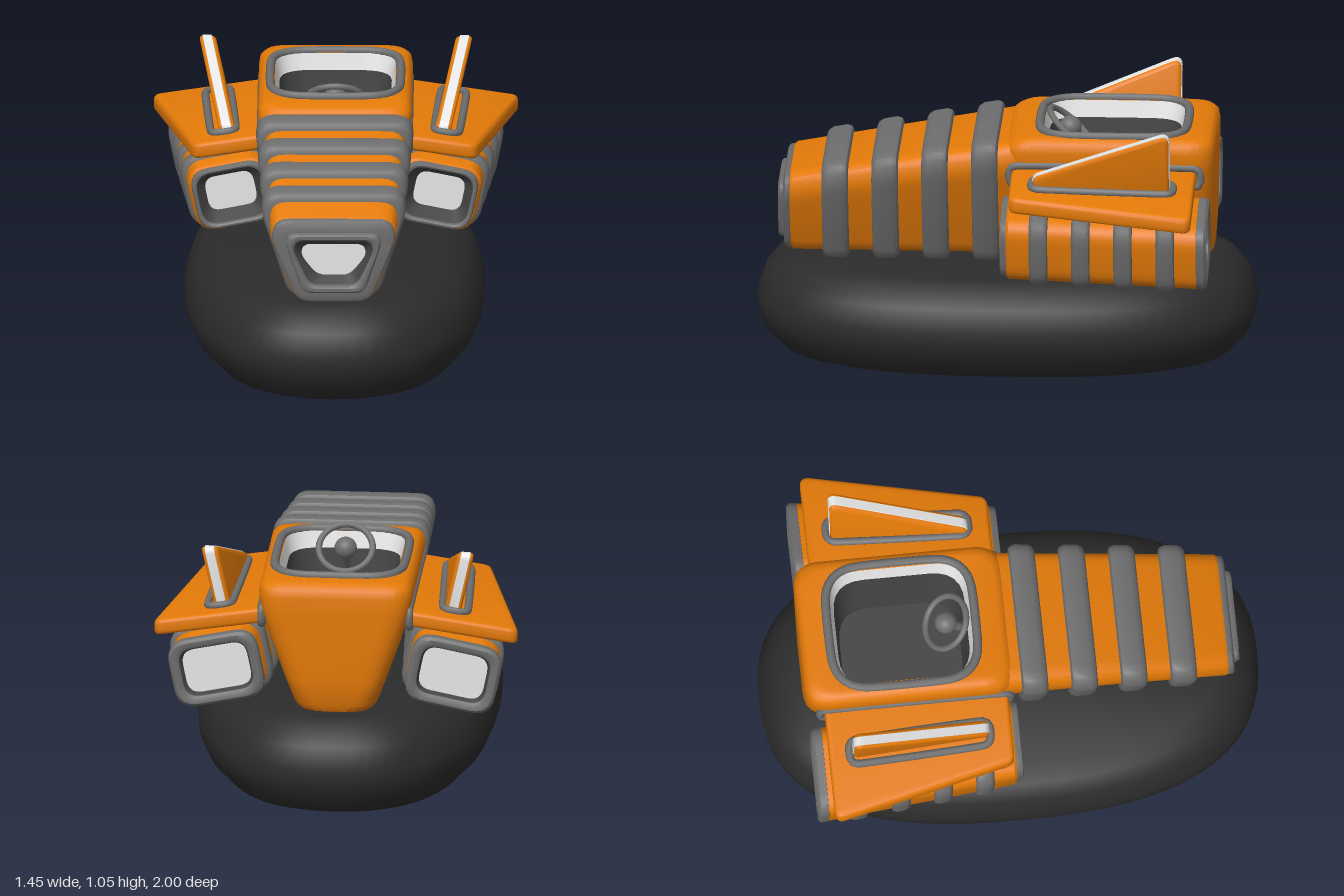
import * as THREE from 'three';
import { toCreasedNormals } from 'three/addons/utils/BufferGeometryUtils.js';

const V = (x, y, z) => new THREE.Vector3(x, y, z);
const mat = (name, color, side = THREE.FrontSide) => {
  const m = new THREE.MeshStandardMaterial({ color, side });
  m.name = name;
  return m;
};

// Counter-clockwise polygon with rounded corners, as [u, v] points
function roundPoly(corners, r, n = 4) {
  const out = [], k = corners.length;
  const P = corners.map(c => new THREE.Vector2(...c));
  P.forEach((p, i) => {
    const toward = q => p.clone().lerp(q, Math.min(0.45, r / p.distanceTo(q)));
    const curve = new THREE.QuadraticBezierCurve(toward(P[(i + k - 1) % k]), p, toward(P[(i + 1) % k]));
    for (let j = 0; j <= n; j++) out.push(curve.getPoint(j / n).toArray());
  });
  return out;
}
const rect = (hw, v0, v1, r) => roundPoly([[hw, v0], [hw, v1], [-hw, v1], [-hw, v0]], r, 6);

// Skin over a row of equal rings, with optional flat ends
function loft(rings, start = false, end = false, crease = 0.7) {
  const pos = [], n = rings[0].length;
  const tri = (...ps) => ps.forEach(p => pos.push(p.x, p.y, p.z));
  const cap = (ring, flip) => {
    const c = ring.reduce((s, p) => s.add(p), V(0, 0, 0)).divideScalar(n);
    ring.forEach((p, i) => {
      const q = ring[(i + 1) % n];
      flip ? tri(c, q, p) : tri(c, p, q);
    });
  };
  for (let k = 0; k + 1 < rings.length; k++) {
    const a = rings[k], b = rings[k + 1];
    for (let i = 0; i < n; i++) {
      const j = (i + 1) % n;
      tri(a[i], a[j], b[j]);
      tri(a[i], b[j], b[i]);
    }
  }
  if (start) cap(rings[0], true);
  if (end) cap(rings[rings.length - 1], false);
  const g = new THREE.BufferGeometry();
  g.setAttribute('position', new THREE.Float32BufferAttribute(pos, 3));
  return toCreasedNormals(g, crease);
}

const loop = (pts, r) => new THREE.TubeGeometry(new THREE.CatmullRomCurve3(pts, true), 72, r, 8, true);

// Move every vertex by a rule, then renew the normals
function bend(g, f) {
  const p = g.attributes.position, v = V(0, 0, 0);
  for (let i = 0; i < p.count; i++) {
    f(v.fromBufferAttribute(p, i));
    p.setXYZ(i, v.x, v.y, v.z);
  }
  return toCreasedNormals(g, 0.7);
}

function mirrored(src) {
  const g = src.index ? src.toNonIndexed() : src.clone();
  g.scale(-1, 1, 1);
  for (const a of Object.values(g.attributes)) {
    const s = a.itemSize, d = a.array;
    for (let i = 0; i < a.count; i += 3) for (let c = 0; c < s; c++) {
      const p = (i + 1) * s + c, q = (i + 2) * s + c;
      [d[p], d[q]] = [d[q], d[p]];
    }
  }
  return g;
}

export function createModel() {
  const root = new THREE.Group();
  root.name = 'hovercraft';
  const orange = mat('orange paint', 0xe47a08), gray = mat('gray trim', 0x6e6e6e);
  const black = mat('black rubber', 0x2b2b2b, THREE.DoubleSide);
  const dark = mat('dark interior', 0x444444), light = mat('light panel', 0xe6e6e6);
  const add = (name, g, m) => {
    const mesh = new THREE.Mesh(g, m);
    mesh.name = name;
    root.add(mesh);
  };
  const pair = (name, g, m) => {
    add('left ' + name, g, m);
    add('right ' + name, mirrored(g), m);
  };

  // Inflated skirt, hollow underneath
  const skirtRing = ([d, y]) => Array.from({ length: 72 }, (_, i) => {
    const a = i / 72 * Math.PI * 2, f = t => Math.sign(t) * Math.abs(t) ** (2 / 2.5);
    return V((0.6 - d) * f(Math.cos(a)), y, -(1 - d) * f(Math.sin(a)));
  });
  add('skirt', loft([[0.42, 0.4], [0.33, 0.37], [0.27, 0.28], [0.23, 0.14], [0.205, 0.03], [0.195, 0], [0.18, 0],
    [0.1, 0.03], [0.035, 0.1], [0.005, 0.17], [0, 0.23], [0.03, 0.32], [0.08, 0.38], [0.15, 0.41]]
    .map(skirtRing), true, true, 0.8), black);

  // Front fuselage, a tapering trapezoid
  const body = ([z, e]) => {
    const w = 0.296 - 0.045 * z + e, top = 0.925 - 0.17 * z + e, b = 0.15 + e;
    return roundPoly([[b, 0.425 - e], [w, top - 0.08], [w - 0.025, top], [0.025 - w, top], [-w, top - 0.08], [-b, 0.425 - e]], 0.055)
      .map(([x, y]) => V(x, y, z));
  };
  add('nose body', loft([[-0.05, 0], [0.85, 0], [0.865, -0.008], [0.868, -0.03]].map(body)), orange);
  const ribRows = (z, h, e) => [[-1, -0.01], [-1, e - 0.018], [-0.86, e - 0.007], [-0.5, e],
    [0.5, e], [0.86, e - 0.007], [1, e - 0.018], [1, -0.01]].map(([k, d]) => [z + k * h, d]);
  [0.08, 0.28, 0.48, 0.68].forEach((z, i) =>
    add('hull rib ' + (i + 1), loft(ribRows(z, 0.053, 0.028).map(body), true, true), gray));

  // Nose intake: collar, raised trapezoid rim, recess and panel
  const trap = ([z, e]) => {
    const t = 0.192 + e, b = 0.125 + e, top = 0.722 + e, low = 0.472 - e;
    return roundPoly([[b, low], [t, top - 0.045], [t - 0.012, top], [0.012 - t, top], [-t, top - 0.045], [-b, low]], 0.035)
      .map(([x, y]) => V(x, y, z));
  };
  add('nose collar', loft([...[[0.845, -0.02], [0.865, -0.004], [0.88, -0.006], [0.888, -0.016]].map(body),
    ...[[0.888, 0], [0.904, -0.002], [0.912, -0.01], [0.912, -0.022], [0.904, -0.03], [0.888, -0.032]].map(trap)]), gray);
  add('nose recess', loft([[0.888, -0.032], [0.845, -0.06]].map(trap)), dark);
  add('nose panel', loft([trap([0.845, -0.06])], false, true), light);

  // Rear hull, stacked upwards and open at the cockpit
  const deck = ([y, hw, v0, v1, r = 0.1]) => rect(hw, v0, v1, r)
    .map(([x, v]) => V(x, y - (y > 0.9 ? Math.max(0, 0.1 - v) * 0.2 : 0), -v));
  const opening = [0.957, 0.24, 0.15, 0.705, 0.13], lip = [0.89, 0.224, 0.165, 0.69, 0.13];
  add('rear hull', loft([[0.41, 0.12, 0, 0.79], [0.42, 0.145, 0, 0.815], [0.45, 0.168, 0, 0.83], [0.55, 0.205, 0, 0.836],
    [0.7, 0.258, 0, 0.838], [0.83, 0.298, 0, 0.84], [0.9, 0.308, 0, 0.84], [0.935, 0.302, 0.005, 0.834],
    [0.954, 0.284, 0.02, 0.817], [0.959, 0.262, 0.04, 0.79], opening].map(deck), true), orange);
  add('cockpit lip', loft([opening, lip].map(deck)), light);
  add('cockpit tub', loft([lip, [0.62, 0.2, 0.19, 0.67, 0.13]].map(deck), false, true), dark);
  add('cockpit rim', loop(rect(0.259, 0.133, 0.722, 0.16).map(([x, v]) => V(x, 0.961, -v)), 0.018), gray);

  // Steering wheel facing up and back
  const tilt = 0.85, hub = V(0, 0.92, -0.25);
  add('steering wheel', new THREE.TorusGeometry(0.108, 0.013, 8, 36).rotateX(tilt).translate(...hub), gray);
  add('wheel hub', new THREE.SphereGeometry(0.045, 20, 14).translate(...hub), gray);
  add('steering column', new THREE.CylinderGeometry(0.018, 0.018, 0.26, 12).rotateX(Math.PI / 2)
    .translate(0, 0, 0.13).rotateX(tilt).translate(...hub), gray);

  // Side engine pods, rolled and splayed outwards to the rear
  const pod = ([z, e]) => {
    const t = -z / 0.82, hw = 0.162 + 0.018 * t + e, hh = 0.135 + 0.004 * t + e;
    const c = Math.cos(0.2), s = Math.sin(0.2);
    return rect(hw, -hh, hh, 0.085 + e * 0.6)
      .map(([u, v]) => V(0.41 + 0.066 * t + u * c + v * s, 0.587 - u * s + v * c, z));
  };
  const podLoft = (rows, a, b) => loft(rows.map(pod), a, b);
  pair('engine body', podLoft([[-0.8, -0.03], [-0.8, -0.008], [-0.79, 0], [-0.03, 0], [-0.02, -0.008], [-0.02, -0.03]]), orange);
  [-0.15, -0.32, -0.49, -0.66].forEach((z, i) =>
    pair('engine rib ' + (i + 1), podLoft(ribRows(z, 0.038, 0.017), true, true), gray));
  pair('engine front rim', podLoft([[-0.04, -0.009], [-0.005, -0.009], [0.004, -0.013], [0.006, -0.02],
    [0.002, -0.027], [-0.012, -0.029]]), gray);
  pair('engine intake', podLoft([[-0.012, -0.029], [-0.07, -0.065]]), dark);
  pair('intake panel', podLoft([[-0.07, -0.065]], false, true), light);
  pair('engine rear rim', podLoft([[-0.8, -0.04], [-0.818, -0.038], [-0.826, -0.028], [-0.826, -0.01],
    [-0.815, 0.001], [-0.785, 0.002], [-0.78, -0.01]]), gray);
  pair('engine outlet', podLoft([[-0.79, -0.048], [-0.812, -0.038]]), dark);
  pair('outlet panel', podLoft([[-0.79, -0.048]], true, false), light);

  // Wings sloping down to the tips
  const slope = 0.15;
  const wingShape = new THREE.Shape(roundPoly([[0.27, 0.045], [0.552, 0.045], [0.715, 0.75], [0.27, 0.75]], 0.02)
    .map(p => new THREE.Vector2(...p)));
  const wing = new THREE.ExtrudeGeometry(wingShape, { depth: 0.032, bevelSize: 0.016, bevelThickness: 0.016, bevelSegments: 3 });
  wing.rotateX(-Math.PI / 2);
  pair('wing', bend(wing, v => { v.y += 0.783 - slope * (v.x - 0.3); }), orange);
  pair('wing root trim', loop(roundPoly([[0.02, 0.765], [0.785, 0.765], [0.785, 0.845], [0.02, 0.845]], 0.03)
    .map(([v, y]) => V(0.296, y, -v)), 0.016), gray);

  // Tail fins: rounded blades with a thin light band along the edge
  const finShape = new THREE.Shape(roundPoly([[0.135, 0.8], [0.655, 0.8], [0.655, 1.035], [0.63, 1.028], [0.135, 0.838]], 0.015)
    .map(p => new THREE.Vector2(...p)));
  const blade = (depth, bevelSize, bevelThickness) => {
    const g = new THREE.ExtrudeGeometry(finShape, { depth, bevelSize, bevelThickness, bevelSegments: 3 });
    g.translate(0, 0, -depth / 2).rotateY(Math.PI / 2);
    return bend(g, v => { v.x += 0.432 + 0.22 * (v.y - 0.83) + 0.065 * (-v.z - 0.12); });
  };
  pair('fin', blade(0.036, 0.014, 0.015), orange);
  pair('fin edge band', blade(0.036, 0.017, 0.002), light);
  pair('fin base trim', loop(rect(0.05, 0.115, 0.685, 0.04).map(([u, v]) => {
    const x = 0.445 + u + 0.05 * (v - 0.12);
    return V(x, 0.838 - slope * (x - 0.3), -v);
  }), 0.016), gray);

  return root;
}
